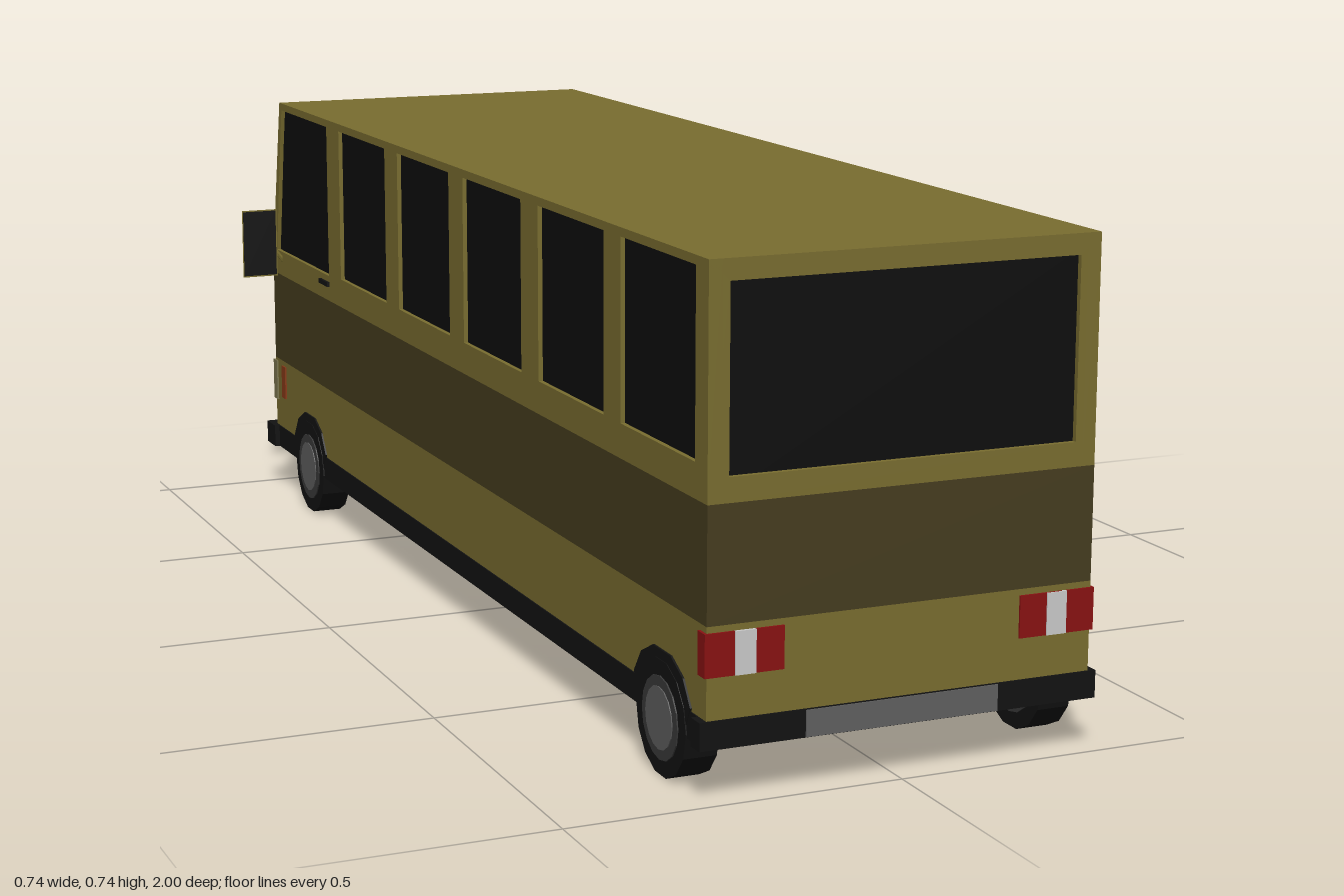
import * as THREE from 'three';

const mat = (color) => new THREE.MeshStandardMaterial({ color, flatShading: true });
const olive = mat(0x7a6e30), brown = mat(0x463d1f), black = mat(0x121212), glass = mat(0x0e0e0e);
const red = mat(0x8a1212), white = mat(0xcccccc), amber = mat(0x8a3a18), lamp = mat(0x7d774f);
const grey = mat(0x606060), rim = mat(0x3a3a3a);

const HALF = 0.293, REAR = 0.995, NOSE = -0.97, ROOF_FRONT = -0.91, TOP = 0.74, SILL = 0.45;

const rect = (x0, x1, y0, y1) => [[x0, y0], [x1, y0], [x1, y1], [x0, y1]];
const toPoints = (list) => list.map(([x, y]) => new THREE.Vector2(x, y));

// flat outline with holes, extruded along +z
function plate(outline, holes, depth) {
  const shape = new THREE.Shape(toPoints(outline));
  for (const h of holes) shape.holes.push(new THREE.Path(toPoints(h)));
  return new THREE.ExtrudeGeometry(shape, { depth, bevelEnabled: false });
}

// outline given as (z, y), spanning x0..x1
function sidePlate(outline, holes, x0, x1) {
  return plate(outline, holes, x1 - x0).rotateY(-Math.PI / 2).translate(x1, 0, 0);
}

export function createModel() {
  const bus = new THREE.Group();
  bus.name = 'bus';

  const add = (name, geometry, material, parent = bus) => {
    const mesh = new THREE.Mesh(geometry, material);
    mesh.name = name;
    parent.add(mesh);
    return mesh;
  };
  const box = (name, material, x0, x1, y0, y1, z0, z1, parent = bus) =>
    add(name, new THREE.BoxGeometry(x1 - x0, y1 - y0, z1 - z0)
      .translate((x0 + x1) / 2, (y0 + y1) / 2, (z0 + z1) / 2), material, parent);

  // lower body, stripe and floor
  box('lowerBody', olive, -HALF, HALF, 0.12, 0.25, NOSE, REAR);
  box('stripe', brown, -HALF, HALF, 0.25, 0.415, NOSE, REAR);
  box('floor', black, -HALF - 0.002, HALF + 0.002, 0.08, 0.12, -0.98, 0.99);

  // dark glass core seen through the window openings
  add('glass', sidePlate([[-0.96, 0.41], [0.987, 0.41], [0.987, 0.73], [-0.902, 0.73], [-0.96, SILL]],
    [], -0.286, 0.286), glass);

  // side walls with windows
  const windows = [0.955, 0.645, 0.325, 0.01, -0.305].map((z) => rect(z - 0.25, z, 0.465, 0.727));
  windows.push([[-0.945, 0.46], [-0.625, 0.46], [-0.625, 0.727], [-0.9, 0.727]]);
  const profile = [[NOSE, 0.415], [REAR, 0.415], [REAR, TOP], [ROOF_FRONT, TOP], [NOSE, SILL]];
  add('leftWall', sidePlate(profile, windows, HALF - 0.02, HALF), olive);
  add('rightWall', sidePlate(profile, windows, -HALF, -HALF + 0.02), olive);

  // rear wall, windscreen frame, front sill and roof
  add('rearWall', plate(rect(-HALF, HALF, 0.415, TOP), [rect(-0.262, 0.262, 0.45, 0.71)], 0.02)
    .translate(0, 0, REAR - 0.02), olive);
  const rise = TOP - SILL, lean = ROOF_FRONT - NOSE, slope = Math.hypot(rise, lean);
  add('windscreenFrame', plate(rect(-HALF, HALF, 0, slope), [rect(-0.272, 0.272, 0.012, slope - 0.016)], 0.015)
    .rotateX(Math.atan2(lean, rise)).translate(0, SILL, NOSE), olive);
  box('frontSill', olive, -HALF, HALF, 0.415, SILL, NOSE, NOSE + 0.03);
  box('roof', olive, -HALF, HALF, 0.728, TOP, ROOF_FRONT, REAR);

  // bumpers and number plates
  box('frontBumper', black, -0.304, 0.304, 0.08, 0.12, -1, -0.95);
  box('rearBumper', black, -0.304, 0.304, 0.08, 0.12, 0.97, 0.998);
  box('frontPlate', grey, -0.147, 0.147, 0.081, 0.119, -1.001, -0.99);
  box('rearPlate', grey, -0.147, 0.147, 0.081, 0.119, 0.99, 1);

  // grille with slats
  box('grille', black, -0.165, 0.165, 0.145, 0.235, NOSE - 0.003, NOSE + 0.01);
  for (let i = 0; i < 5; i++) {
    const y = 0.153 + i * 0.017;
    box('grilleSlat', grey, -0.155, 0.155, y, y + 0.006, NOSE - 0.008, NOSE);
  }

  // paired lights, handles and mirrors
  for (const s of [1, -1]) {
    const pair = (name, material, a, b, ...rest) =>
      box(name, material, Math.min(s * a, s * b), Math.max(s * a, s * b), ...rest);
    pair('tailLight', red, 0.18, 0.297, 0.18, 0.241, 0.975, 0.998);
    pair('reverseLight', white, 0.222, 0.253, 0.18, 0.241, 0.99, 0.9995);
    pair('headlight', lamp, 0.185, 0.296, 0.17, 0.245, -0.976, -0.955);
    pair('sideMarker', amber, 0.28, 0.296, 0.18, 0.241, -0.925, -0.903);
    pair('doorHandle', black, 0.28, 0.298, 0.441, 0.449, -0.672, -0.622);

    // tapered mirror housing, narrower towards the front
    const mirror = new THREE.Group();
    mirror.name = s > 0 ? 'leftMirror' : 'rightMirror';
    bus.add(mirror);
    const housing = new THREE.BoxGeometry(0.066, 0.125, 0.024);
    const p = housing.attributes.position;
    for (let i = 0; i < p.count; i++) {
      if (p.getZ(i) < 0) p.setXY(i, p.getX(i) * 0.75, p.getY(i) * 0.9);
    }
    housing.computeVertexNormals();
    add('mirrorHousing', housing.translate(s * 0.338, 0.48, -0.917), olive, mirror);
    const face = box('mirrorFace', black, -0.031, 0.031, -0.06, 0.06, -0.001, 0.001, mirror);
    face.position.set(s * 0.338, 0.48, -0.905);
    const arm = new THREE.LineCurve3(new THREE.Vector3(s * 0.288, 0.44, -0.915),
      new THREE.Vector3(s * 0.312, 0.472, -0.915));
    add('mirrorArm', new THREE.TubeGeometry(arm, 1, 0.004, 6), olive, mirror);
  }

  // wheels, hubs and wheel wells
  const disc = (r, width, sides) => new THREE.CylinderGeometry(r, r, width, sides).rotateZ(Math.PI / 2);
  const arch = [[-0.1, 0.058], [0.1, 0.058], [0.095, 0.125], [0.07, 0.16], [0.03, 0.18],
    [-0.03, 0.18], [-0.07, 0.16], [-0.095, 0.125]];
  for (const z of [0.855, -0.752]) {
    add('wheelWell', sidePlate(arch.map(([u, y]) => [u * (y < 0.1 ? 0.6 : 1) + z, y]), [], -0.296, 0.302), black);
    for (const s of [1, -1]) {
      const wheel = new THREE.Group();
      wheel.name = 'wheel';
      wheel.position.set(s * 0.275 + 0.003, 0.084, z);
      bus.add(wheel);
      add('tyre', disc(0.084, 0.05, 14), black, wheel);
      add('rim', disc(0.06, 0.054, 16), rim, wheel);
      add('hub', disc(0.045, 0.057, 16), grey, wheel);
    }
  }
  return bus;
}
